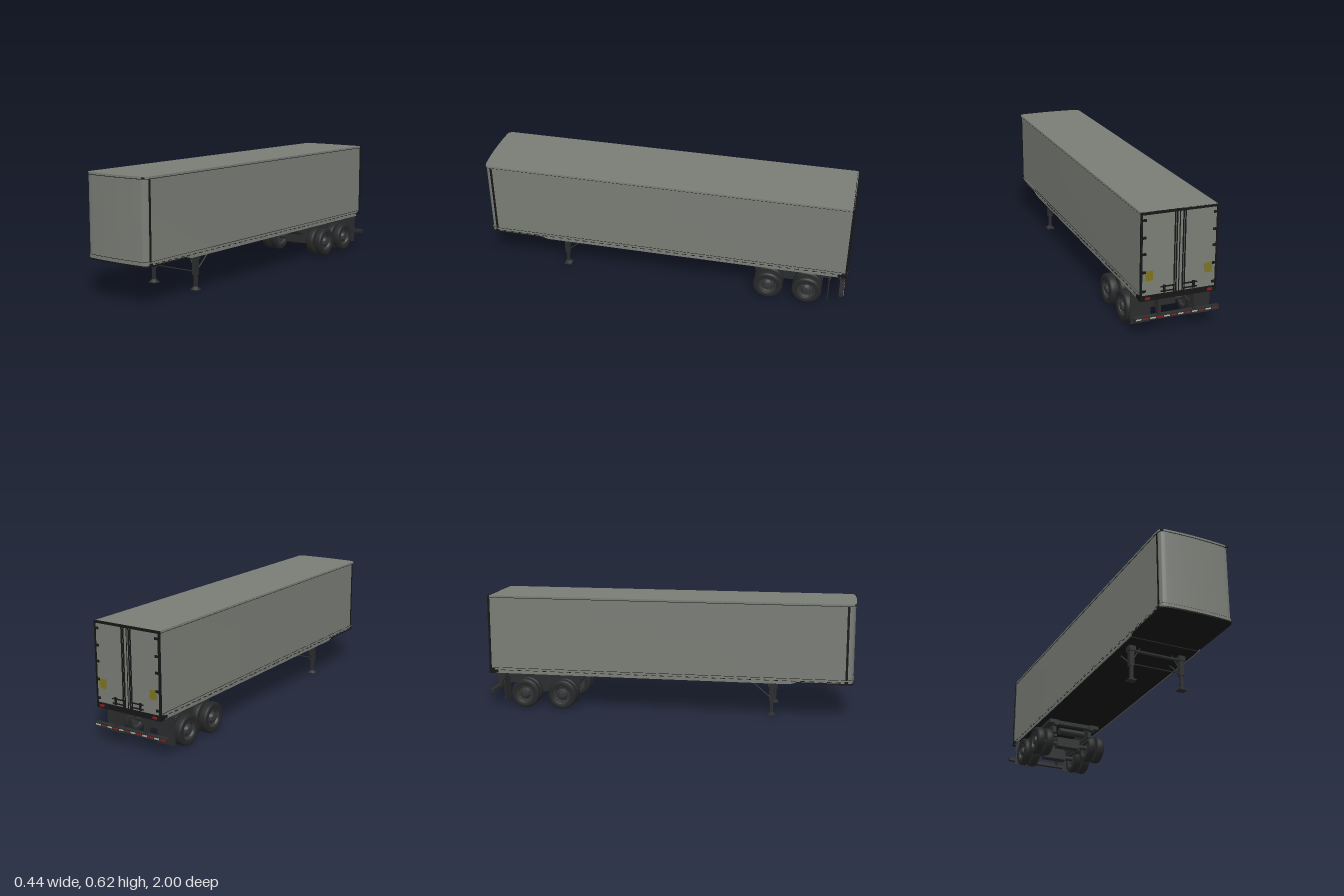
import * as THREE from 'three';
import { toCreasedNormals } from 'three/addons/utils/BufferGeometryUtils.js';

const mat = (name, color, side = THREE.FrontSide) => {
  const m = new THREE.MeshStandardMaterial({ color, side });
  m.name = name;
  return m;
};

export function createModel() {
  const root = new THREE.Group();
  root.name = 'boxTrailer';
  const grey = mat('bodyGrey', 0x7a7d76);
  const black = mat('trimBlack', 0x161616);
  const steel = mat('chassisSteel', 0x2b2c2d);
  const rubber = mat('tyreRubber', 0x262728);
  const rim = mat('rimGrey', 0x343536);
  const yellow = mat('placardYellow', 0x7d7420);
  const red = mat('reflectorRed', 0x8c1c1c);
  const white = mat('reflectorWhite', 0xb0b0ac);

  const add = (name, geo, m, parent = root) => {
    const mesh = new THREE.Mesh(geo, m);
    mesh.name = name;
    parent.add(mesh);
    return mesh;
  };
  // box given by its min and max corners
  const box = (name, m, x0, x1, y0, y1, z0, z1, parent = root) => {
    const b = add(name, new THREE.BoxGeometry(x1 - x0, y1 - y0, z1 - z0), m, parent);
    b.position.set((x0 + x1) / 2, (y0 + y1) / 2, (z0 + z1) / 2);
    return b;
  };
  const pair = (name, m, x0, x1, ...r) => {
    box(name + 'Left', m, x0, x1, ...r);
    box(name + 'Right', m, -x1, -x0, ...r);
  };
  // round bar between two points
  const bar = (name, m, a, b, r, parent = root, seg = 12) => {
    const p = new THREE.Vector3(...a), d = new THREE.Vector3(...b).sub(p);
    const c = add(name, new THREE.CylinderGeometry(r, r, d.length(), seg), m, parent);
    c.position.copy(p).addScaledVector(d, 0.5);
    c.quaternion.setFromUnitVectors(new THREE.Vector3(0, 1, 0), d.normalize());
    return c;
  };

  // Body: plan outline with rounded front corners and a slightly bowed nose
  const slab = (name, m, grow, y0, y1) => {
    const w = 0.19 + grow, f = grow;
    const s = new THREE.Shape();
    s.moveTo(-w, 0.99);
    s.lineTo(w, 0.99);
    s.lineTo(w, -0.955 - f);
    s.quadraticCurveTo(w, -0.985 - f, w - 0.03, -0.988 - f);
    s.quadraticCurveTo(0, -1.002 - f, -w + 0.03, -0.988 - f);
    s.quadraticCurveTo(-w, -0.985 - f, -w, -0.955 - f);
    const g = new THREE.ExtrudeGeometry(s, { depth: y1 - y0, bevelEnabled: false, curveSegments: 10 });
    g.rotateX(-Math.PI / 2);
    g.translate(0, y0, 0);
    return add(name, toCreasedNormals(g, 0.5), m);
  };
  slab('cargoBox', grey, 0, 0.2, 0.617);
  slab('roofSheet', grey, 0.002, 0.617, 0.62);
  slab('topRail', grey, 0.003, 0.61, 0.617);
  slab('topRailSeam', black, 0.001, 0.607, 0.61);
  slab('bottomRail', grey, 0.002, 0.2, 0.216);
  slab('bottomRailSeam', black, 0.0008, 0.216, 0.218);
  slab('floorPan', black, 0.003, 0.192, 0.2);

  // Deeper side rail and underfloor behind the coupler area
  const railShape = new THREE.Shape([[-0.97, 0.2], [0.66, 0.2], [0.7, 0.199], [0.66, 0.187], [-0.97, 0.187]]
    .map(([z, y]) => new THREE.Vector2(-z, y)));
  for (const s of [1, -1]) {
    const g = new THREE.ExtrudeGeometry(railShape, { depth: 0.006, bevelEnabled: false });
    g.rotateY(Math.PI / 2);
    g.translate(s > 0 ? 0.188 : -0.194, 0, 0);
    add('sideRail', g, grey);
    // rivet line and corner marker lamps
    for (let i = 0; i < 40; i++)
      box('railRivets', black, s * 0.193 - 0.001, s * 0.193 + 0.001, 0.203, 0.206, -0.93 + i * 0.047, -0.905 + i * 0.047);
    box('markerLamp', black, s * 0.193 - 0.003, s * 0.193 + 0.003, 0.2, 0.21, 0.945, 0.965);
    box('rearMarkerLamp', black, s * 0.193 - 0.003, s * 0.193 + 0.003, 0.19, 0.205, -0.97, -0.945);
    box('topMarkerLamp', black, s * 0.18 - 0.007, s * 0.18 + 0.007, 0.609, 0.617, 0.985, 0.994);
  }
  box('underfloor', black, -0.188, 0.188, 0.187, 0.195, -0.97, 0.66);
  pair('noseCornerTrim', black, 0.188, 0.1915, 0.2, 0.61, 0.95, 0.962);

  // Rear frame and doors
  pair('rearPost', black, 0.186, 0.195, 0.19, 0.62, -0.995, -0.984);
  box('rearHeader', black, -0.195, 0.195, 0.609, 0.62, -0.995, -0.984);
  box('rearSill', black, -0.195, 0.195, 0.185, 0.212, -0.996, -0.965);
  pair('doorPanel', grey, 0.003, 0.185, 0.213, 0.608, -0.993, -0.985);
  box('doorGap', black, -0.003, 0.003, 0.213, 0.608, -0.9915, -0.985);
  pair('placard', yellow, 0.132, 0.17, 0.285, 0.335, -0.995, -0.992);
  for (const s of [1, -1]) {
    for (const x of [0.016, 0.026])
      bar('lockRod', black, [s * x, 0.2, -0.9965], [s * x, 0.612, -0.9965], 0.0035, root, 8);
    for (const y of [0.235, 0.33, 0.42, 0.5, 0.585])
      box('doorHinge', black, s * 0.178 - 0.009, s * 0.178 + 0.009, y - 0.006, y + 0.006, -0.998, -0.99);
    for (const y of [0.222, 0.245])
      box('lockHandle', black, s * 0.055 - 0.038, s * 0.055 + 0.038, y, y + 0.005, -1, -0.992);
    box('handleCatch', black, s * 0.075 - 0.006, s * 0.075 + 0.006, 0.218, 0.255, -0.999, -0.992);
    box('tailLamp', red, s * 0.16 - 0.012, s * 0.16 + 0.012, 0.192, 0.204, -0.999, -0.995);
  }

  // Landing gear
  const gear = new THREE.Group();
  gear.name = 'landingGear';
  root.add(gear);
  for (const s of [1, -1]) {
    const x = s * 0.14;
    box('legOuter', steel, x - 0.013, x + 0.013, 0.08, 0.187, 0.552, 0.578, gear);
    box('legInner', steel, x - 0.008, x + 0.008, 0.01, 0.08, 0.557, 0.573, gear);
    const foot = add('legFoot', new THREE.CylinderGeometry(0.012, 0.026, 0.014, 4), steel, gear);
    foot.rotation.y = Math.PI / 4;
    foot.position.set(x, 0.012, 0.565);
    box('footPlate', steel, x - 0.022, x + 0.022, 0, 0.005, 0.545, 0.585, gear);
    box('legBracket', steel, x - 0.018, x + 0.018, 0.16, 0.187, 0.545, 0.585, gear);
    bar('legBrace', steel, [x, 0.095, 0.56], [x, 0.188, 0.45], 0.004, gear, 8);
    bar('crossBrace', steel, [x, 0.1, 0.565], [s * 0.09, 0.188, 0.565], 0.003, gear, 8);
  }
  bar('crossTube', steel, [-0.155, 0.168, 0.565], [0.155, 0.168, 0.565], 0.008, gear);
  bar('crossShaft', steel, [-0.13, 0.095, 0.565], [0.13, 0.095, 0.565], 0.003, gear, 8);

  // Bogie frame
  pair('bogieRail', steel, 0.1, 0.122, 0.12, 0.187, -0.905, -0.5);
  pair('bogieRailNose', steel, 0.1, 0.122, 0.155, 0.187, -0.5, -0.47);
  pair('bogieOuterPlate', steel, 0.122, 0.155, 0.165, 0.187, -0.905, -0.47);
  pair('springHanger', steel, 0.1, 0.13, 0.085, 0.16, -0.72, -0.65);
  box('frontCrossmember', steel, -0.15, 0.15, 0.165, 0.187, -0.51, -0.48);
  box('middleCrossmember', steel, -0.1, 0.1, 0.115, 0.16, -0.7, -0.67);
  box('rearCrossmember', steel, -0.12, 0.12, 0.15, 0.187, -0.9, -0.87);
  bar('airTank', steel, [-0.077, 0.137, -0.52], [0.077, 0.137, -0.52], 0.021, root, 20);

  // Axles with dual wheels
  const tyreGeo = new THREE.LatheGeometry([
    [0.048, -0.018], [0.054, -0.023], [0.07, -0.023], [0.077, -0.019], [0.08, -0.012], [0.08, 0.012],
    [0.077, 0.019], [0.07, 0.023], [0.054, 0.023], [0.048, 0.018]].map(p => new THREE.Vector2(...p)), 36);
  const rimGeo = new THREE.LatheGeometry([
    [0, -0.012], [0.04, -0.012], [0.049, -0.019], [0.051, 0.019], [0.044, 0.018], [0.038, 0.006], [0.03, 0.006],
    [0.024, 0.014], [0.02, 0.022], [0.012, 0.024], [0, 0.024]].map(p => new THREE.Vector2(...p)), 28);
  const rimSmooth = toCreasedNormals(rimGeo, 0.6);
  for (const z of [-0.58, -0.79]) {
    const axle = new THREE.Group();
    axle.name = 'axleAssembly';
    axle.position.set(0, 0.08, z);
    root.add(axle);
    bar('axleTube', steel, [-0.17, 0, 0], [0.17, 0, 0], 0.013, axle, 16);
    box('axleHousing', steel, -0.07, 0.07, -0.02, 0.035, -0.025, 0.025, axle);
    for (const s of [1, -1]) {
      for (const x of [0.134, 0.188]) {
        const wheel = new THREE.Group();
        wheel.name = x > 0.15 ? 'outerWheel' : 'innerWheel';
        wheel.position.x = s * x;
        wheel.rotation.z = -s * Math.PI / 2;
        axle.add(wheel);
        add('tyre', tyreGeo, rubber, wheel);
        add('rim', rimSmooth, rim, wheel);
        for (let i = 0; i < 10 && x > 0.15; i++) {
          const a = i * Math.PI / 5;
          const nut = add('wheelNut', new THREE.CylinderGeometry(0.0025, 0.0025, 0.006, 6), steel, wheel);
          nut.position.set(Math.cos(a) * 0.034, 0.008, Math.sin(a) * 0.034);
        }
      }
      box('leafSpring', steel, s * 0.105 - 0.008, s * 0.105 + 0.008, 0.015, 0.03, -0.08, 0.08, axle);
    }
  }

  // Mud flaps
  pair('mudFlap', steel, 0.105, 0.207, 0.035, 0.18, -0.908, -0.903);
  pair('mudFlapHanger', steel, 0.1, 0.207, 0.172, 0.187, -0.915, -0.9);

  // Rear underride guard with reflective tape
  const strut = new THREE.Shape([[0.93, 0.19], [0.985, 0.19], [0.985, 0.085], [0.965, 0.085]]
    .map(p => new THREE.Vector2(...p)));
  for (const s of [1, -1]) {
    const g = new THREE.ExtrudeGeometry(strut, { depth: 0.016, bevelEnabled: false });
    g.rotateY(Math.PI / 2);
    g.translate(s * 0.092 - 0.008, 0, 0);
    add('guardStrut', g, steel);
  }
  box('guardBar', steel, -0.22, 0.22, 0.08, 0.1, -0.987, -0.963);
  for (let i = 0; i < 12; i++) {
    const x = -0.216 + i * 0.036;
    box('guardTape', i % 2 ? white : red, x + 0.004, x + 0.032, 0.087, 0.094, -0.989, -0.986);
  }
  return root;
}
